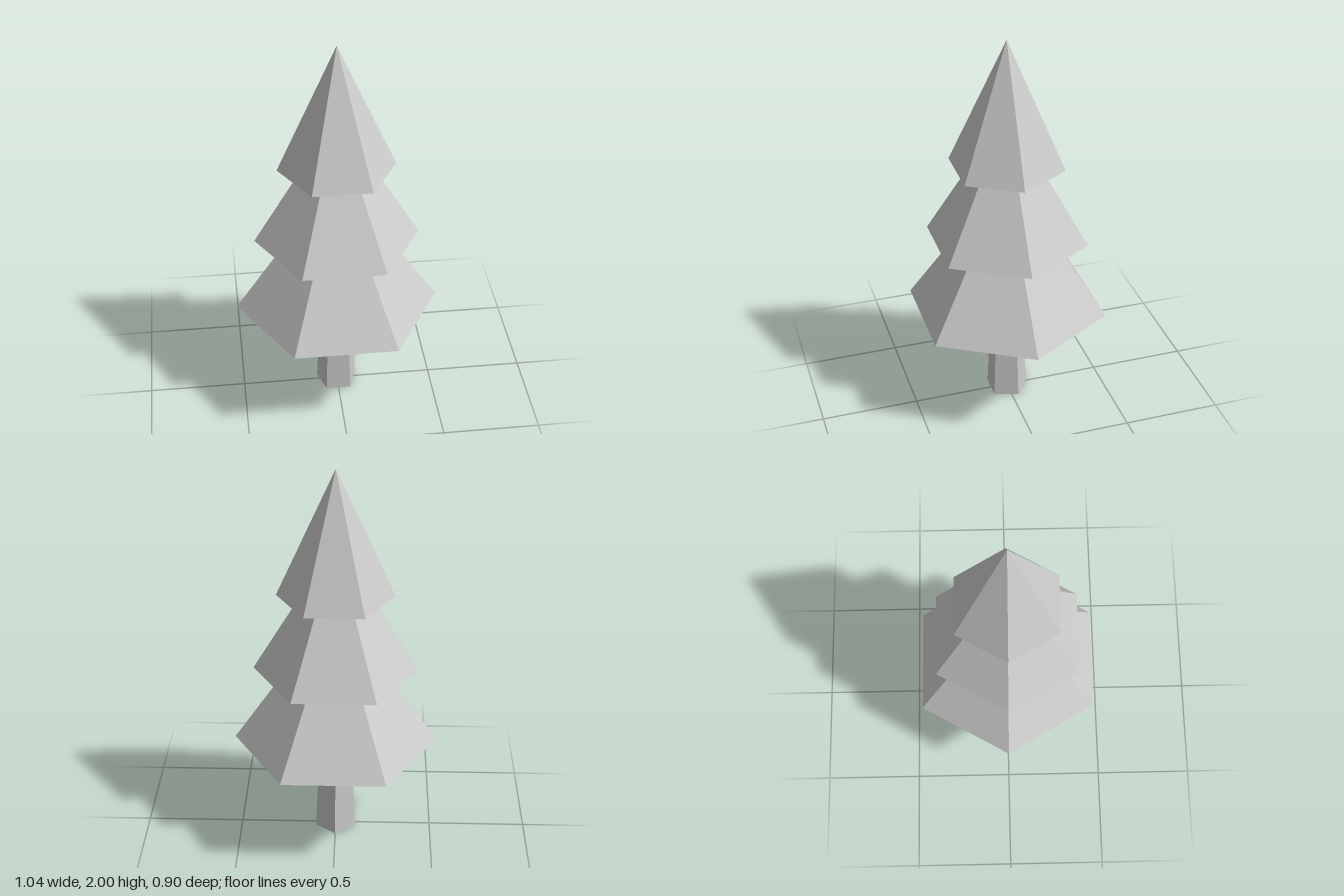
import * as THREE from 'three';

export function createModel() {
  const group = new THREE.Group();
  group.name = 'pineTree';

  const grey = new THREE.MeshStandardMaterial({ color: 0xcccccc, flatShading: true });
  grey.name = 'light grey';

  // Tapered five-sided trunk, one corner pointing back
  const trunkHeight = 0.53;
  const trunk = new THREE.Mesh(
    new THREE.CylinderGeometry(0.086, 0.109, trunkHeight, 5, 1, false, Math.PI), grey);
  trunk.name = 'trunk';
  trunk.position.y = trunkHeight / 2;
  group.add(trunk);

  // Overlapping six-sided foliage cones, corners pointing left and right
  const tiers = [
    { name: 'lowerFoliage', base: 0.53, tip: 1.29, radius: 0.52 },
    { name: 'middleFoliage', base: 0.937, tip: 1.63, radius: 0.416 },
    { name: 'topFoliage', base: 1.345, tip: 2, radius: 0.294 },
  ];
  for (const { name, base, tip, radius } of tiers) {
    const cone = new THREE.Mesh(
      new THREE.ConeGeometry(radius, tip - base, 6, 1, false, Math.PI / 2), grey);
    cone.name = name;
    cone.position.y = (base + tip) / 2;
    group.add(cone);
  }

  return group;
}
